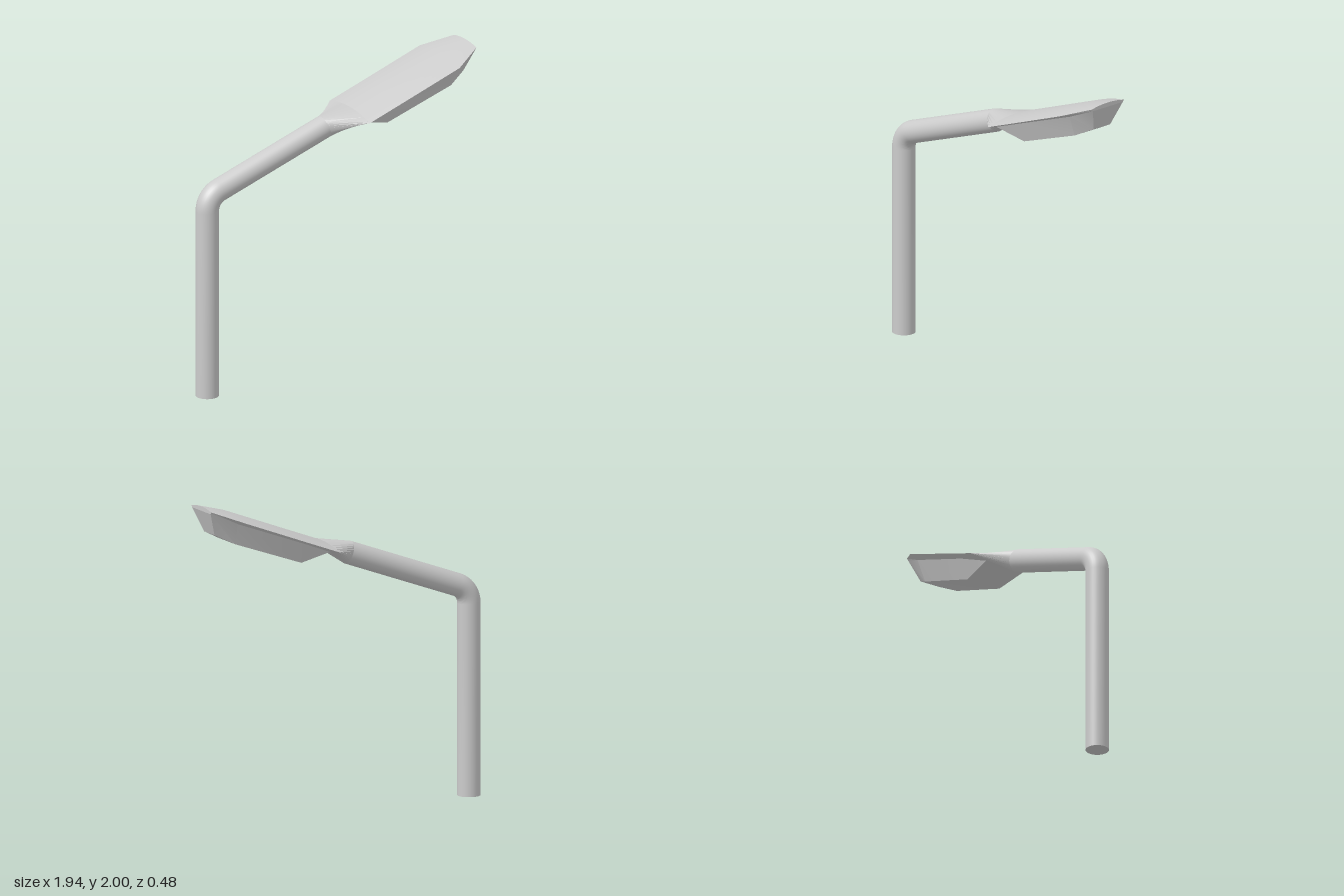
import * as THREE from 'three';
import { toCreasedNormals } from 'three/addons/utils/BufferGeometryUtils.js';

const SIDES = 32, RADIUS = 0.073, TILT = THREE.MathUtils.degToRad(20);
const ARM_END = [-0.055, 1.615];

// Skin closed rings that run from +z over the top to -z and back underneath.
function loft(name, rings, crease, startCap, endCap) {
  const pos = [], n = rings[0].length;
  const tri = (...pts) => pts.forEach((p) => pos.push(...p));
  for (let i = 0; i < rings.length - 1; i++) {
    for (let j = 0; j < n; j++) {
      const k = (j + 1) % n;
      const a = rings[i][j], b = rings[i][k], c = rings[i + 1][j], d = rings[i + 1][k];
      tri(a, c, b);
      tri(b, c, d);
    }
  }
  for (let j = 0; j < n; j++) {
    const k = (j + 1) % n, last = rings[rings.length - 1];
    if (startCap) tri(startCap, rings[0][j], rings[0][k]);
    if (endCap) tri(endCap, last[k], last[j]);
  }
  const geometry = new THREE.BufferGeometry();
  geometry.setAttribute('position', new THREE.Float32BufferAttribute(pos, 3));
  const material = new THREE.MeshStandardMaterial({ color: 0xcccccc, side: THREE.DoubleSide });
  const mesh = new THREE.Mesh(toCreasedNormals(geometry, crease), material);
  mesh.name = name;
  return mesh;
}

// Round pipe section centred on (x, y), facing along the angle a in the xy plane.
function pipeRing(x, y, a) {
  return Array.from({ length: SIDES }, (_, j) => {
    const t = (j / SIDES) * Math.PI * 2, s = RADIUS * Math.sin(t);
    return [x - Math.sin(a) * s, y + Math.cos(a) * s, RADIUS * Math.cos(t)];
  });
}

// Head section: arched crown, rim, underside lip and flat-bottomed bowl.
function headRing({ rim: [x, y, w], rise, lip, bowl }) {
  const ring = [];
  for (let j = 0; j <= 16; j++) {
    const t = (j / 16) * Math.PI;
    ring.push([x, y + rise * Math.sin(t) ** 2, w * Math.cos(t)]);
  }
  const mirror = ([px, py, pz]) => [px, py, -pz];
  ring.push(mirror(lip), mirror(bowl), bowl, lip);
  return ring;
}

export function createModel() {
  const group = new THREE.Group();
  group.name = 'streetLamp';

  // Upright pole, elbow and sloping arm in one pipe
  const poleX = -0.9, bendY = 1.217, bendR = 0.13, steps = 12;
  const pipe = [pipeRing(poleX, 0, Math.PI / 2)];
  for (let i = 0; i <= steps; i++) {
    const turn = (i / steps) * (Math.PI / 2 - TILT);
    pipe.push(pipeRing(
      poleX + bendR * (1 - Math.cos(turn)),
      bendY + bendR * Math.sin(turn),
      Math.PI / 2 - turn
    ));
  }
  const armEnd = pipeRing(...ARM_END, TILT);
  pipe.push(armEnd);
  group.add(loft('poleAndArm', pipe, 0.5, [poleX, 0, 0]));

  // Neck flaring from the round arm to the thin, wide head
  const neckEnd = armEnd.map((_, j) => {
    const t = (j / SIDES) * Math.PI * 2, s = Math.sin(t);
    return [0.13, 1.675 + (s > 0 ? 0.035 : -0.02) * s * s, 0.24 * Math.cos(t)];
  });
  group.add(loft('neck', [armEnd, neckEnd], 0.5));

  // Lamp head with arched top and faceted bowl below
  const sections = [
    { rim: [0.13, 1.675, 0.24], rise: 0.035, lip: [0.13, 1.66, 0.17], bowl: [0.13, 1.655, 0.12] },
    { rim: [0.33, 1.749, 0.24], rise: 0.035, lip: [0.33, 1.733, 0.17], bowl: [0.33, 1.605, 0.12] },
    { rim: [0.78, 1.917, 0.24], rise: 0.035, lip: [0.8, 1.903, 0.17], bowl: [0.79, 1.765, 0.12] },
    { rim: [0.965, 1.985, 0.135], rise: 0.015, lip: [0.965, 1.972, 0.125], bowl: [0.91, 1.825, 0.07] },
  ];
  group.add(loft('lampHead', sections.map(headRing), 0.35, null, [0.965, 1.972, 0]));

  return group;
}
